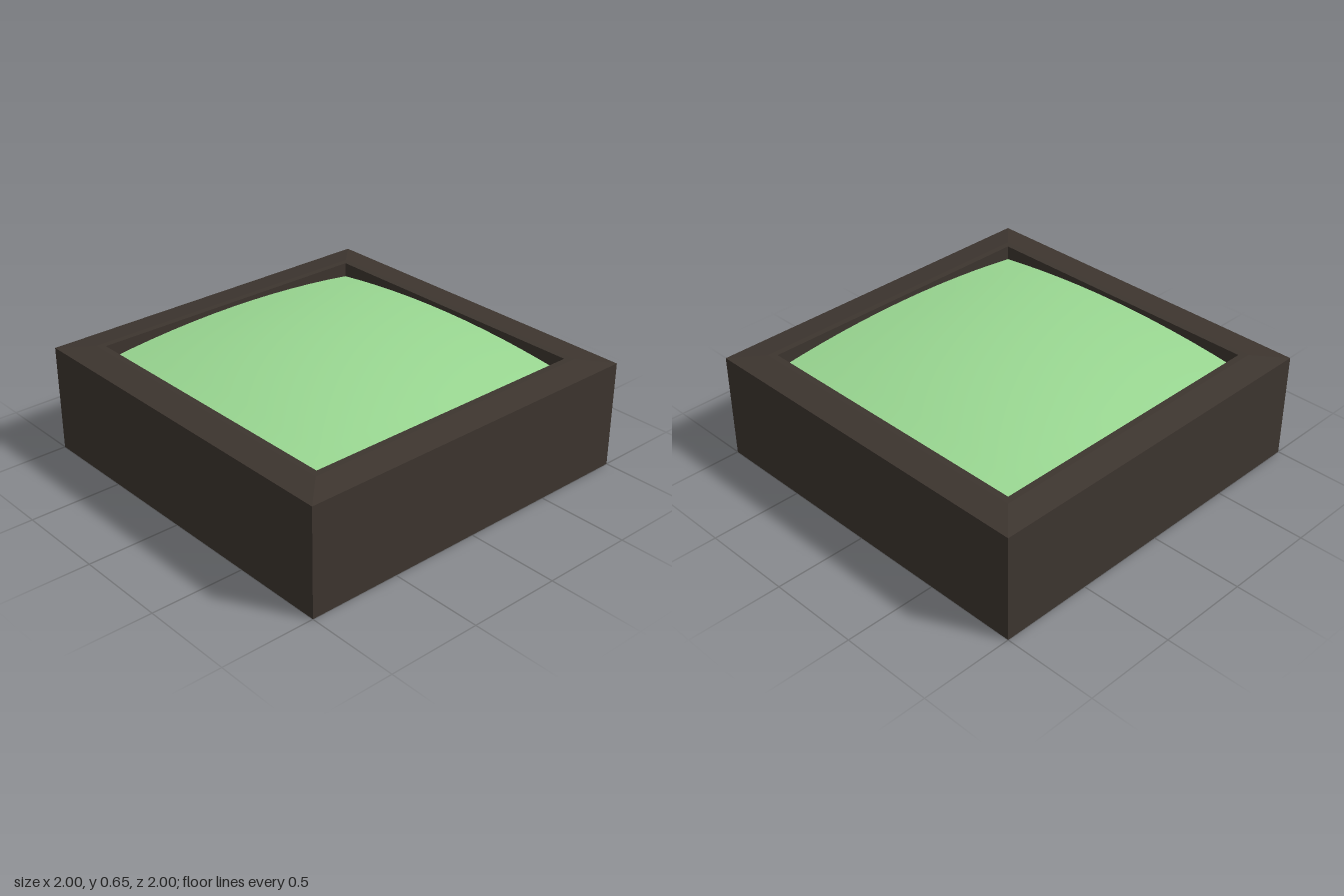
import * as THREE from 'three';

export function createModel() {
  const group = new THREE.Group();
  const dark = new THREE.MeshStandardMaterial({ color: 0x3d352f, flatShading: true });
  const green = new THREE.MeshStandardMaterial({ color: 0x9ad892, side: THREE.DoubleSide });

  // Square tray: a four-sided lathe of [half width, height], from the underside
  // up the outer wall, over the sloping rim and down to the recessed floor
  const profile = [[0, 0], [1, 0], [1, 0.58], [0.85, 0.598], [0.815, 0.598], [0.815, 0.49], [0, 0.49]]
    .map(([r, y]) => new THREE.Vector2(r * Math.SQRT2, y));
  const frame = new THREE.Mesh(new THREE.LatheGeometry(profile, 4, Math.PI / 4), dark);
  frame.name = 'frame';
  group.add(frame);

  // Domed pad set inside the frame, lowest at its corners
  const padGeometry = new THREE.PlaneGeometry(1.62, 1.62, 12, 12).rotateX(-Math.PI / 2);
  const pos = padGeometry.attributes.position;
  for (let i = 0; i < pos.count; i++) {
    const x2 = pos.getX(i) ** 2;
    const z2 = pos.getZ(i) ** 2;
    pos.setY(i, 0.65 - 0.115 * (x2 + z2) + 0.05 * x2 * z2);
  }
  padGeometry.computeVertexNormals();
  const pad = new THREE.Mesh(padGeometry, green);
  pad.name = 'pad';
  group.add(pad);

  return group;
}
